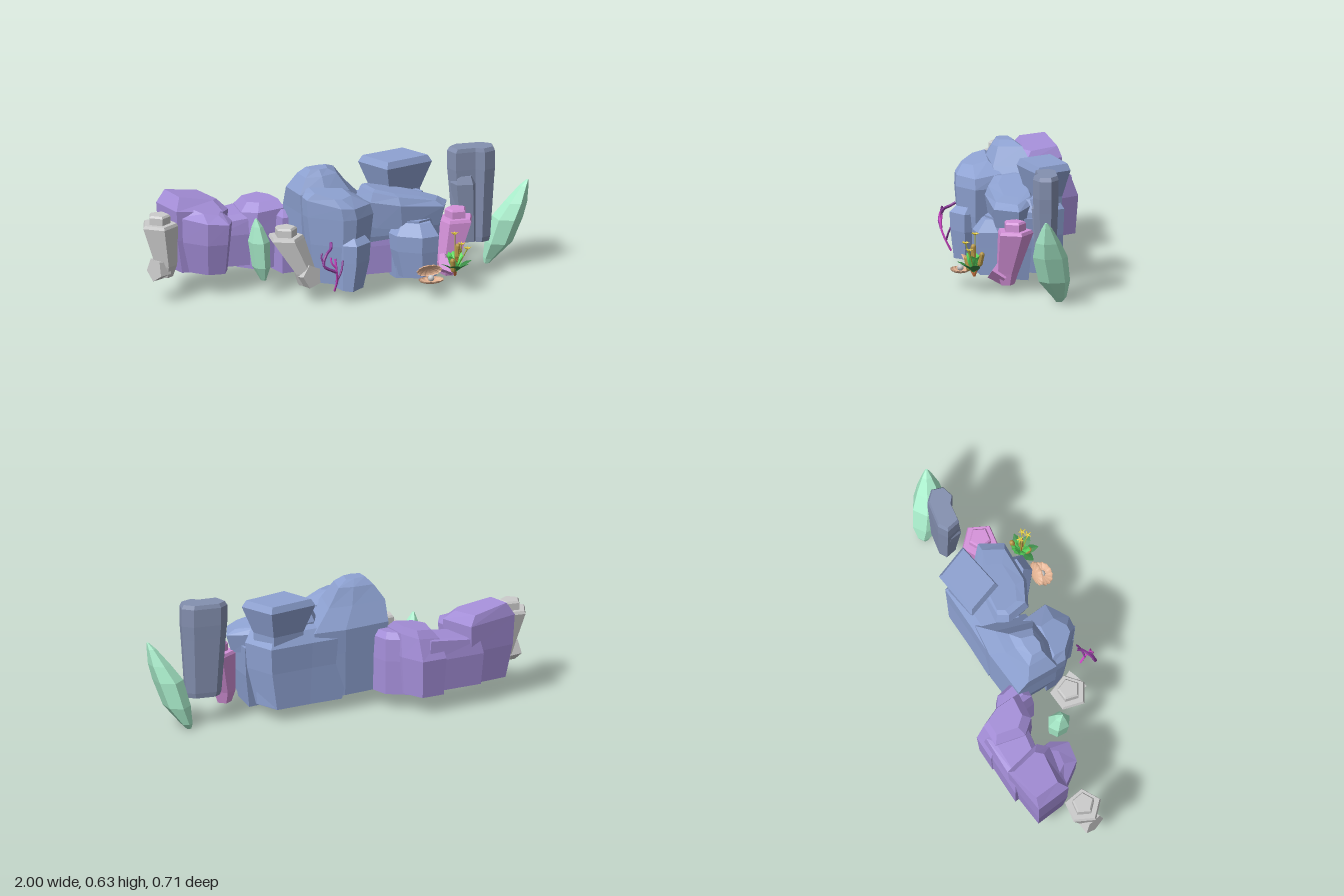
import * as THREE from 'three';

const BLUE = 0x8ea2d2, PURPLE = 0xa48ed8, SLATE = 0x8490b0, PINK = 0xd692da, GREEN = 0xaaeecc, GREY = 0xcccccc;
const mat = (color, side = THREE.FrontSide) => new THREE.MeshStandardMaterial({ color, side, flatShading: true });

function add(parent, name, geometry, color, side) {
  const mesh = new THREE.Mesh(geometry, mat(color, side));
  mesh.name = name;
  parent.add(mesh);
  return mesh;
}

// Faceted rock: an [x, z] outline repeated at levels of [y, scale, dx, dz, tiltX, tiltZ]
function rockGeometry(outline, levels) {
  const n = outline.length;
  let area = 0;
  outline.forEach(([x, z], i) => {
    const [x2, z2] = outline[(i + 1) % n];
    area += x * z2 - x2 * z;
  });
  const ring = area > 0 ? outline : [...outline].reverse();
  const cx = ring.reduce((s, p) => s + p[0], 0) / n, cz = ring.reduce((s, p) => s + p[1], 0) / n;
  const pos = [], index = [];
  for (const [y, s, dx = 0, dz = 0, tx = 0, tz = 0] of levels) {
    for (const [x, z] of ring) {
      const px = (x - cx) * s, pz = (z - cz) * s;
      pos.push(cx + dx + px, y + tx * px + tz * pz, cz + dz + pz);
    }
  }
  const last = levels.length - 1, bottom = n * levels.length, top = bottom + 1;
  for (const l of [levels[0], levels[last]]) pos.push(cx + (l[2] || 0), l[0], cz + (l[3] || 0));
  for (let i = 0; i < n; i++) {
    const j = (i + 1) % n;
    for (let k = 0; k < last; k++) {
      const a = k * n + i, b = k * n + j;
      index.push(a, a + n, b, b, a + n, b + n);
    }
    index.push(bottom, i, j, top, last * n + j, last * n + i);
  }
  const g = new THREE.BufferGeometry();
  g.setAttribute('position', new THREE.Float32BufferAttribute(pos, 3));
  g.setIndex(index);
  const flat = g.toNonIndexed();
  flat.computeVertexNormals();
  return flat;
}
const rock = (parent, name, color, outline, levels) => add(parent, name, rockGeometry(outline, levels), color);

const polygon = (n, rx, rz, turn = 0) => Array.from({ length: n }, (_, i) => {
  const a = turn + i / n * Math.PI * 2;
  return [Math.cos(a) * rx, Math.sin(a) * rz];
});

// Tapered prism between two points
function stick(parent, name, color, a, b, ra, rb, sides = 5) {
  const va = new THREE.Vector3(...a), vb = new THREE.Vector3(...b), d = vb.clone().sub(va);
  const m = add(parent, name, new THREE.CylinderGeometry(rb, ra, d.length(), sides), color);
  m.position.copy(va).add(vb).multiplyScalar(0.5);
  m.quaternion.setFromUnitVectors(new THREE.Vector3(0, 1, 0), d.normalize());
  return m;
}

// Five-sided spout rock: capped top, leaning body and a foot
function spoutRock(parent, name, color, top, base, foot, turn) {
  const g = new THREE.Group();
  g.name = name;
  const [x, y, z] = top, [bx, by, bz] = base;
  rock(g, 'spoutBody', color, polygon(5, 0.094, 0.094, turn),
    [[by, 0.4, bx, bz], [by + 0.06, 0.62, bx, bz], [y - 0.06, 1, x, z], [y - 0.045, 0.92, x, z]]);
  rock(g, 'spoutCap', color, polygon(5, 0.057, 0.057, turn),
    [[y - 0.06, 1, x, z], [y - 0.01, 1, x, z], [y, 0.85, x, z]]);
  stick(g, 'spoutFoot', color, [bx, by + 0.04, bz], foot, 0.05, 0.06);
  parent.add(g);
}

function shellGeometry() {
  const g = new THREE.SphereGeometry(1, 40, 5, 0, Math.PI * 2, Math.PI / 2, Math.PI / 2);
  const p = g.attributes.position;
  for (let i = 0; i < p.count; i++) {
    const k = 1 + 0.05 * Math.cos(Math.atan2(p.getZ(i), p.getX(i)) * 13);
    p.setXYZ(i, p.getX(i) * k, p.getY(i), p.getZ(i) * k);
  }
  g.computeVertexNormals();
  return g;
}

export function createModel() {
  const model = new THREE.Group();
  model.name = 'reefRocks';

  // Purple rock wall
  const purple = new THREE.Group();
  purple.name = 'purpleWall';
  rock(purple, 'purpleLeftRock', PURPLE, [[-0.86, -0.25], [-0.61, -0.31], [-0.53, -0.12], [-0.57, -0.07], [-0.81, -0.07]],
    [[0.11, 0.82, 0.01], [0.28, 0.95], [0.42, 1, 0, 0, -0.08], [0.475, 0.72, -0.01, -0.02, -0.18]]);
  rock(purple, 'purpleFrontPillar', PURPLE, [[-0.8, -0.09], [-0.68, 0.03], [-0.57, 0.035], [-0.53, -0.05], [-0.56, -0.16], [-0.78, -0.18]],
    [[0.11, 0.78, 0.01, -0.02], [0.27, 0.93], [0.38, 1, 0, 0, -0.1], [0.43, 0.7, -0.01, -0.04, -0.15, -0.2]]);
  rock(purple, 'purpleSaddle', PURPLE, [[-0.68, -0.3], [-0.38, -0.345], [-0.36, -0.11], [-0.62, -0.11]],
    [[0.11, 0.92], [0.27, 1], [0.35, 0.9, 0, 0, 0.1, -0.1], [0.365, 0.65, 0, 0, 0.1]]);
  rock(purple, 'purpleRightRock', PURPLE, [[-0.47, -0.34], [-0.34, -0.36], [-0.27, -0.25], [-0.24, -0.1], [-0.4, -0.09], [-0.48, -0.16]],
    [[0.09, 0.9], [0.28, 1], [0.385, 0.86, 0.01, 0.02, 0.1], [0.425, 0.62, 0.02, 0.01, 0.1]]);
  rock(purple, 'purpleEndRock', PURPLE, [[-0.34, -0.27], [-0.2, -0.2], [-0.14, -0.04], [-0.28, -0.02]],
    [[0.08, 0.95], [0.25, 0.95], [0.36, 0.85], [0.39, 0.5]]);
  rock(purple, 'purpleInnerRock', PURPLE, [[0.02, -0.04], [0.04, 0.05], [0.27, 0.05], [0.3, -0.04]],
    [[0.06, 1], [0.2, 0.95], [0.26, 0.8]]);
  model.add(purple);

  // Blue rock wall
  const blue = new THREE.Group();
  blue.name = 'blueWall';
  rock(blue, 'bluePeak', BLUE, [[-0.25, -0.1], [0, -0.155], [0.17, -0.16], [0.13, 0.1], [-0.05, 0.15], [-0.22, 0.12]],
    [[0.08, 0.72, 0, -0.03], [0.3, 0.95, -0.01], [0.42, 0.97, -0.01], [0.52, 0.74, -0.06, 0.03], [0.6, 0.46, -0.07, 0.03, 0.06], [0.63, 0.25, -0.08, 0.04]]);
  rock(blue, 'blueFrontRock', BLUE, [[-0.23, 0.06], [-0.21, 0.17], [-0.06, 0.285], [0.01, 0.285], [0.12, 0.2], [0.08, 0.06]],
    [[0.08, 0.75, 0, -0.01], [0.28, 0.9], [0.42, 1], [0.49, 0.96, -0.01, 0, -0.1, -0.1], [0.535, 0.55, -0.04, 0.01, -0.1, -0.2]]);
  rock(blue, 'blueLowPillar', BLUE, [[-0.09, 0.2], [-0.06, 0.28], [0, 0.315], [0.09, 0.25], [0.05, 0.15], [-0.06, 0.14]],
    [[0.06, 0.75, -0.01, 0, 0, -0.1], [0.2, 0.95], [0.29, 1], [0.34, 0.65, 0, -0.02]]);
  rock(blue, 'blueBackWall', BLUE, [[-0.05, -0.14], [0.17, -0.17], [0.4, -0.21], [0.48, -0.05], [0.43, 0.05], [0, 0.06]],
    [[0.065, 0.8, 0, -0.02], [0.25, 0.96], [0.38, 1], [0.44, 0.85, 0, 0.02]]);
  rock(blue, 'blueTopBlock', BLUE, [[0.155, -0.17], [0.41, -0.24], [0.505, -0.07], [0.25, 0.01]],
    [[0.07, 0.58], [0.44, 0.68], [0.575, 1], [0.608, 0.88]]);
  rock(blue, 'blueOverhang', BLUE, [[0.09, 0], [0.13, 0.12], [0.27, 0.17], [0.5, 0.15], [0.55, 0.03], [0.42, -0.06], [0.12, -0.06]],
    [[0.31, 0.85, 0.01], [0.43, 1, 0, 0, -0.12], [0.47, 0.85, -0.01, 0, -0.2], [0.48, 0.6, -0.03, -0.02, -0.22]]);
  rock(blue, 'blueRightColumn', BLUE, [[0.25, 0], [0.25, 0.13], [0.36, 0.18], [0.49, 0.12], [0.48, -0.05]],
    [[0.045, 0.82, -0.01, 0, 0, 0.1], [0.2, 0.92], [0.35, 1]]);
  rock(blue, 'blueRightPillar', BLUE, [[0.23, 0.1], [0.25, 0.17], [0.36, 0.24], [0.45, 0.225], [0.47, 0.12], [0.4, 0.07]],
    [[0.065, 0.78, 0.01], [0.2, 0.95], [0.28, 1], [0.34, 0.68, 0, -0.02]]);
  model.add(blue);

  // Slate pillar with a ledge on its front
  rock(model, 'slatePillar', SLATE, [[0.595, -0.11], [0.64, -0.145], [0.78, -0.14], [0.83, -0.1], [0.82, -0.04], [0.76, -0.015], [0.72, -0.04], [0.62, -0.04]],
    [[0.145, 0.72], [0.17, 0.78], [0.45, 0.95], [0.52, 1], [0.61, 1], [0.63, 0.9]]);
  rock(model, 'slateLedge', SLATE, [[0.605, -0.09], [0.62, -0.03], [0.7, -0.015], [0.74, -0.07]],
    [[0.15, 0.75, 0.02, -0.01], [0.45, 1], [0.49, 0.8, 0, -0.01]]);

  // Green crystals
  rock(model, 'largeCrystal', GREEN, polygon(6, 0.075, 0.088, 0.4),
    [[0.003, 0.18, 0.808, -0.14], [0.03, 0.4, 0.82, -0.14], [0.12, 0.9, 0.86, -0.11], [0.25, 1, 0.898, -0.085], [0.33, 0.72, 0.938, -0.07], [0.41, 0.3, 0.975, -0.06], [0.44, 0.08, 0.992, -0.055]]);
  rock(model, 'smallCrystal', GREEN, polygon(6, 0.053, 0.06, 0.4),
    [[0.08, 0.25, -0.4, 0.05], [0.15, 0.85, -0.41, 0.045], [0.28, 1, -0.422, 0.045], [0.36, 0.5, -0.432, 0.05], [0.4, 0.1, -0.44, 0.055]]);

  // Spout rocks
  spoutRock(model, 'pinkSpoutRock', PINK, [0.59, 0.365, 0.058], [0.54, 0.038, 0.09], [0.525, 0.12, 0.15], -0.3);
  spoutRock(model, 'greyLeftSpoutRock', GREY, [-0.912, 0.44, -0.035], [-0.885, 0.125, -0.015], [-0.95, 0.17, 0.01], Math.PI / 2);
  spoutRock(model, 'greyMiddleSpoutRock', GREY, [-0.315, 0.375, 0.145], [-0.23, 0.085, 0.185], [-0.205, 0.135, 0.24], 0.1);

  // Branching coral
  const coral = new THREE.Group();
  coral.name = 'branchCoral';
  const branch = (color, r, ...pts) => add(coral, 'coralBranch', new THREE.TubeGeometry(
    new THREE.CatmullRomCurve3(pts.map(p => new THREE.Vector3(...p))), 14, r, 6), color);
  branch(0xd048c8, 0.006, [-0.11, 0.07, 0.295], [-0.105, 0.13, 0.325], [-0.115, 0.19, 0.345], [-0.12, 0.25, 0.34]);
  branch(0x8a3c98, 0.008, [-0.115, 0.18, 0.342], [-0.18, 0.22, 0.345], [-0.16, 0.27, 0.325], [-0.13, 0.29, 0.3], [-0.12, 0.31, 0.27]);
  branch(0x8a3c98, 0.005, [-0.11, 0.12, 0.32], [-0.08, 0.17, 0.31], [-0.065, 0.22, 0.29]);
  branch(0x8a3c98, 0.005, [-0.175, 0.225, 0.343], [-0.19, 0.26, 0.335], [-0.185, 0.28, 0.33]);
  branch(0xd048c8, 0.005, [-0.115, 0.2, 0.345], [-0.14, 0.23, 0.35], [-0.145, 0.26, 0.345]);
  model.add(coral);

  // Water plant: leaves, cattails and star flowers
  const plant = new THREE.Group();
  plant.name = 'waterPlant';
  plant.position.set(0.525, 0.1, 0.25);
  for (let i = 0; i < 11; i++) {
    const a = i * 2.4, low = i % 3 === 0, reach = low ? 0.062 : 0.035, h = low ? 0.05 : 0.09;
    const c = Math.cos(a) * reach, s = Math.sin(a) * reach;
    const outline = polygon(4, 0.008, 0.026).map(([x, z]) =>
      [x * Math.cos(a) - z * Math.sin(a), x * Math.sin(a) + z * Math.cos(a)]);
    rock(plant, 'leaf', low ? 0x3a8a46 : 0x5cdc60, outline,
      [[0, 0.4], [h * 0.5, 1, c * 0.5, s * 0.5], [h * 0.85, 0.7, c, s], [h, 0.04, c * 1.4, s * 1.4]]);
  }
  for (const [x, y, z] of [[0.01, 0.105, 0.005], [0.03, 0.07, -0.03], [-0.02, 0.04, 0.03]]) {
    stick(plant, 'cattailStem', 0xc06a38, [0, -0.02, 0], [x, y, z], 0.006, 0.005, 6);
    const head = add(plant, 'cattailHead', new THREE.CapsuleGeometry(0.013, 0.05, 4, 8), 0xb89848);
    head.position.set(x, y, z);
    head.rotation.set(z * 6, 0, -x * 6);
  }
  for (const [x, y, z] of [[0.0, 0.19, -0.005], [0.055, 0.12, 0.03], [0.02, 0.15, 0.045]]) {
    stick(plant, 'flowerStem', 0xa8b040, [0, 0, 0], [x, y, z], 0.003, 0.003, 5);
    for (let k = 0; k < 5; k++) {
      const a = k * Math.PI * 0.4;
      stick(plant, 'petal', 0xe8d040, [x, y, z], [x + Math.cos(a) * 0.02, y + 0.007, z + Math.sin(a) * 0.02], 0.006, 0.001, 4);
    }
  }
  model.add(plant);

  // Open clam with its pearl
  const clam = new THREE.Group();
  clam.name = 'clam';
  clam.position.set(0.385, 0.088, 0.255);
  const lower = add(clam, 'lowerShell', shellGeometry(), 0xe0b090, THREE.DoubleSide);
  lower.scale.set(0.063, 0.02, 0.047);
  lower.position.z = 0.05;
  const hinge = new THREE.Group();
  hinge.name = 'upperShellHinge';
  hinge.rotation.x = -1;
  const upper = add(hinge, 'upperShell', shellGeometry(), 0xe0b090, THREE.DoubleSide);
  upper.scale.set(0.063, 0.02, 0.04);
  upper.rotation.z = Math.PI;
  upper.position.z = 0.04;
  clam.add(hinge);
  const pearl = add(clam, 'pearl', new THREE.SphereGeometry(0.016, 16, 10), 0xcccccc);
  pearl.material.flatShading = false;
  pearl.position.set(0, 0.005, 0.048);
  model.add(clam);

  return model;
}
